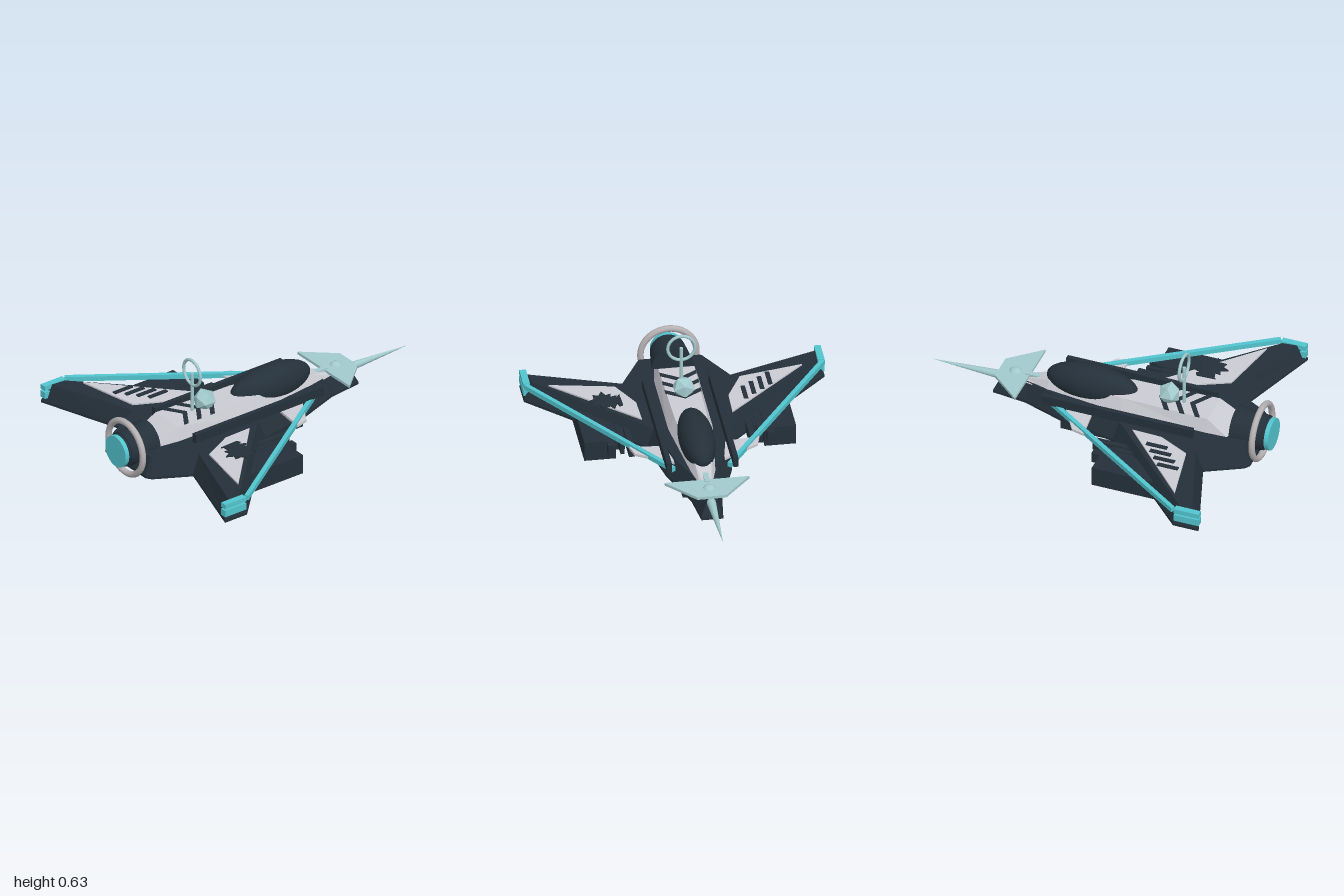
import * as THREE from 'three';

const paint = (name, color) => {
  const m = new THREE.MeshStandardMaterial({ color });
  m.name = name;
  return m;
};

export function createModel() {
  const ship = new THREE.Group();
  ship.name = 'starfighter';
  const dark = paint('dark navy', 0x24303a);
  const white = paint('light grey', 0xcbcbd3);
  const cyan = paint('cyan', 0x52c4ce);
  const pale = paint('pale teal', 0xa2cacd);
  const steel = paint('steel grey', 0xb5b0b2);
  const paleFlat = pale; 

  const add = (name, geo, mat, x = 0, y = 0, z = 0) => {
    const m = new THREE.Mesh(geo, mat);
    m.name = name;
    m.position.set(x, y, z);
    ship.add(m);
    return m;
  };
  // box given by its limits on each axis
  const box = (name, mat, [x0, x1], [y0, y1], [z0, z1]) =>
    add(name, new THREE.BoxGeometry(x1 - x0, y1 - y0, z1 - z0), mat,
      (x0 + x1) / 2, (y0 + y1) / 2, (z0 + z1) / 2);
  const outline = pts => new THREE.Shape(pts.map(p => new THREE.Vector2(...p)));
  const flip = (pts, s) => pts.map(([x, z]) => [x * s, z]);
  const both = half => [...half, ...flip(half, -1).reverse()];
  // flat plate with an (x, z) outline
  const plate = (name, mat, pts, top, thick) =>
    add(name, new THREE.ExtrudeGeometry(outline(pts), { depth: thick, bevelEnabled: false })
      .rotateX(Math.PI / 2), mat, 0, top, 0);

  // Hull: delta outline, wide at the bottom and sloping in to the deck
  const hullHalf = [[0.06, -0.62], [0.085, -0.42], [0.18, -0.15], [0.24, 0.15],
    [0.83, 0.73], [0.83, 0.88], [0.32, 0.71], [0.21, 0.91], [0.18, 0.93]];
  const hull = new THREE.ExtrudeGeometry(outline(both(hullHalf)), {
    depth: 0.02, bevelThickness: 0.05, bevelSize: 0.045, bevelOffset: -0.045, bevelSegments: 1,
  }).rotateX(Math.PI / 2);
  const hp = hull.attributes.position;
  for (let i = 0; i < hp.count; i++) {
    const y = hp.getY(i);
    hp.setY(i, y > 0.03 ? 0.237 : y > -0.01 ? 0.14 : y > -0.04 ? 0.125 : 0.115);
  }
  hull.computeVertexNormals();
  add('hull', hull, dark);

  // Fuselage spine: [z, half width at base, half width at top, top height]
  const sections = [[0.78, 0.12, 0.105, 0.234], [0.65, 0.125, 0.1, 0.315], [0.15, 0.125, 0.09, 0.315],
    [-0.3, 0.07, 0.045, 0.285], [-0.45, 0.04, 0.02, 0.245], [-0.55, 0.02, 0.01, 0.232]];
  const verts = [], index = [];
  sections.forEach(([z, b, t, y], i) => {
    verts.push(-b, 0.23, z, b, 0.23, z, t, y, z, -t, y, z);
    if (i === 0) return;
    for (let j = 0; j < 4; j++) {
      const k = (j + 1) % 4, p = (i - 1) * 4, q = i * 4;
      index.push(p + j, q + j, p + k, p + k, q + j, q + k);
    }
  });
  const spineIndexed = new THREE.BufferGeometry();
  spineIndexed.setAttribute('position', new THREE.Float32BufferAttribute(verts, 3));
  spineIndexed.setIndex(index);
  const spine = spineIndexed.toNonIndexed();
  spine.computeVertexNormals();
  add('spine', spine, white);

  // Canopy
  add('canopy', new THREE.SphereGeometry(1, 32, 20), dark, 0, 0.3, -0.06).scale.set(0.098, 0.11, 0.265);

  // Chevrons on the spine
  for (const z of [0.33, 0.42, 0.51])
    plate('chevron', dark, both([[0, z], [0.1, z + 0.065], [0.1, z + 0.095], [0, z + 0.03]]), 0.32, 0.008);

  // Engine with glowing end and ring
  const barrel = (name, mat, r0, r1, z0, z1) =>
    add(name, new THREE.CylinderGeometry(r1, r0, z1 - z0, 32).rotateX(Math.PI / 2), mat, 0, 0.235, (z0 + z1) / 2);
  barrel('engineHousing', dark, 0.118, 0.098, 0.78, 0.96);
  barrel('engineNozzle', dark, 0.092, 0.092, 0.95, 0.975);
  barrel('engineGlow', cyan, 0.092, 0.092, 0.975, 1);
  add('engineRing', new THREE.TorusGeometry(0.155, 0.018, 12, 48), steel, 0, 0.238, 0.93);

  // Nose plate, boss, strip and spike
  plate('nosePlate', pale, both([[0.08, -0.6], [0.235, -0.425]]), 0.262, 0.016);
  add('noseBoss', new THREE.SphereGeometry(0.038, 16, 10), paleFlat, 0, 0.25, -0.51).scale.y = 0.75;
  box('noseStrip', pale, [-0.015, 0.015], [0.24, 0.268], [-0.45, -0.33]);
  add('noseSpike', new THREE.ConeGeometry(0.028, 0.45, 12).rotateX(-Math.PI / 2), pale, 0, 0.21, -0.775);

  // Sensor orb and antenna hoop
  const orb = new THREE.IcosahedronGeometry(0.066, 0);
  add('sensorOrb', orb, pale, 0, 0.35, 0.39);
  add('antennaPole', new THREE.CylinderGeometry(0.01, 0.01, 0.24, 12), pale, 0, 0.43, 0.475);
  add('antennaHoop', new THREE.TorusGeometry(0.075, 0.009, 10, 40), pale, 0, 0.55, 0.475);

  // Belly pod with keel
  box('bellyPod', dark, [-0.1, 0.1], [0.02, 0.12], [-0.21, 0.63]);
  const keel = outline([[-0.06, 0.022], [-0.03, 0.005], [0, 0], [0.03, 0.005], [0.06, 0.022]]);
  add('bellyKeel', new THREE.ExtrudeGeometry(keel, { depth: 0.75, bevelEnabled: false }), dark, 0, 0, -0.21);

  for (const s of [-1, 1]) {
    const span = (a, b) => (s > 0 ? [a, b] : [-b, -a]);
    // Spine side rails
    box('sideRail', dark, span(0.17, 0.198), [0.235, 0.29], [-0.28, 0.6]);
    // Wing panels
    plate('wingPanel', white, flip([[0.25, 0.27], [0.7, 0.69], [0.345, 0.62], [0.255, 0.44]], s), 0.246, 0.009);
    // Leading edge rods
    const dx = 0.665, dz = 0.965;
    const rod = add('leadingRod', new THREE.BoxGeometry(0.025, 0.028, Math.hypot(dx, dz)), cyan,
      s * (0.155 + dx / 2), 0.226, -0.24 + dz / 2);
    rod.rotation.y = s * Math.atan2(dx, dz);
    // Wing tip bars
    box('wingTipBar', cyan, span(0.795, 0.832), [0.16, 0.2], [0.735, 0.88]);
    box('wingTipBar', cyan, span(0.795, 0.832), [0.21, 0.238], [0.735, 0.88]);
    // Canard fins
    plate('canard', white, flip([[0.14, -0.17], [0.34, -0.05], [0.36, 0.025], [0.14, 0.0]], s), 0.228, 0.015);
    // Weapon pods and gun barrels under the wings
    box('weaponPod', dark, span(0.41, 0.585), [0.075, 0.19], [0.16, 0.64]);
    box('weaponBody', dark, span(0.355, 0.41), [0.105, 0.185], [0.2, 0.6]);
    for (const [x, w, z] of [[0.335, 0.034, 0.075], [0.382, 0.022, 0.11], [0.44, 0.042, 0.11]])
      box('gunBarrel', dark, span(x - w / 2, x + w / 2), [0.13, 0.19], [z, 0.45]);
  }

  // Four slashes on the right wing
  for (let i = 0; i < 4; i++) {
    const x = -0.497 + i * 0.051, z = 0.51 - i * 0.041;
    box('wingSlash', dark, [x - 0.012, x + 0.012], [0.246, 0.253], [z, z + 0.122]);
  }
  // Jagged paint patch on the left wing
  plate('paintPatch', dark, [[0.33, 0.42], [0.35, 0.41], [0.36, 0.44], [0.38, 0.39], [0.4, 0.42], [0.44, 0.4],
    [0.46, 0.43], [0.5, 0.43], [0.49, 0.46], [0.515, 0.48], [0.48, 0.5], [0.48, 0.54], [0.45, 0.53],
    [0.43, 0.57], [0.41, 0.53], [0.38, 0.54], [0.385, 0.51], [0.35, 0.52], [0.36, 0.49], [0.335, 0.53]], 0.253, 0.007);

  return ship;
}
